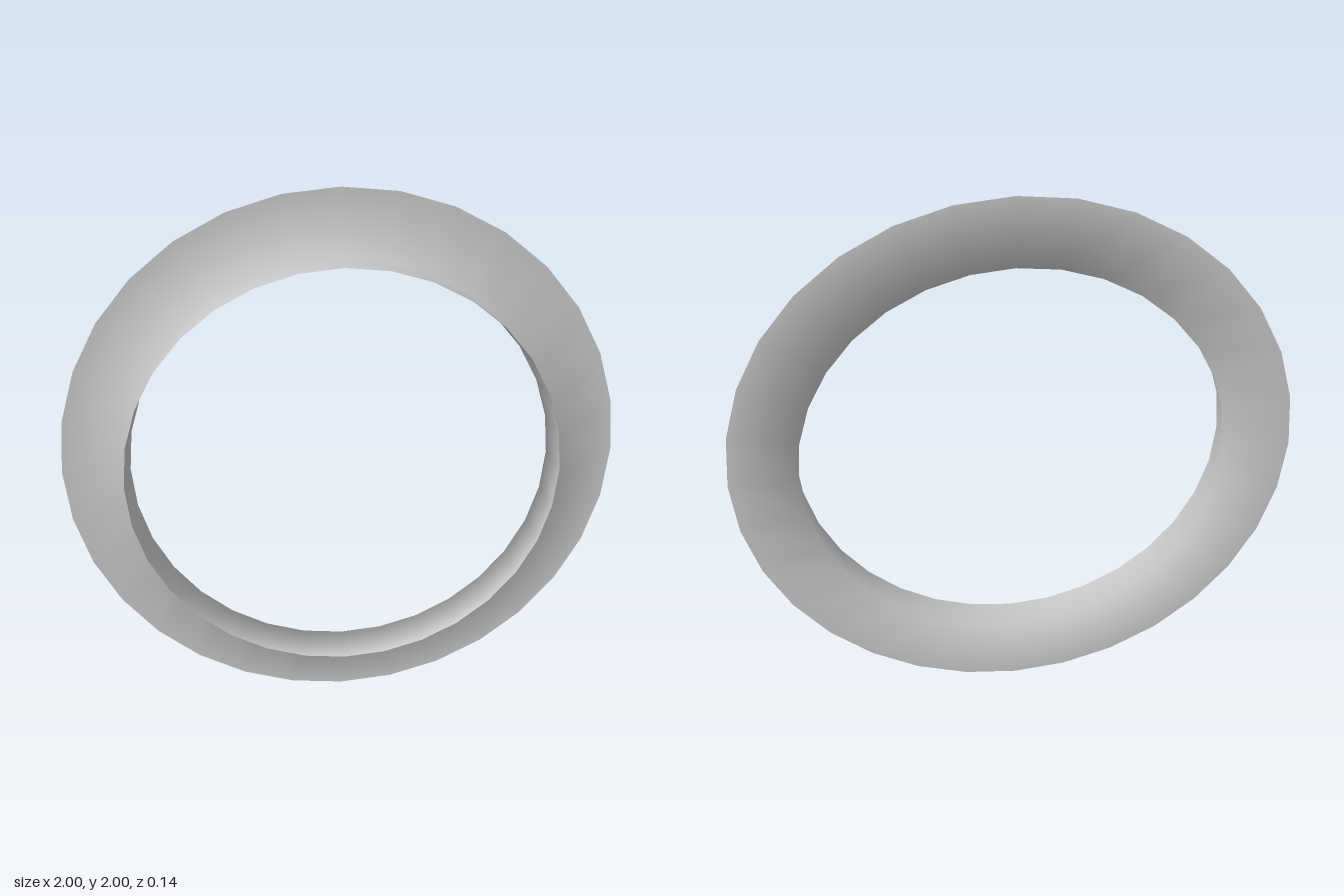
import * as THREE from 'three';

// Thin flanged ring: a flat annulus at the back with a slightly flared collar facing the front.
export function createModel() {
  const group = new THREE.Group();
  group.name = 'flangedRing';

  const material = new THREE.MeshStandardMaterial({ color: 0xcccccc, side: THREE.DoubleSide });

  // Profile: outer rim, inner corner of the flange, front lip of the collar
  const profile = [
    new THREE.Vector2(1, -0.072),
    new THREE.Vector2(0.757, -0.072),
    new THREE.Vector2(0.772, 0.072),
  ];

  // Turn the lathe axis from y to z so the collar points forward
  const geometry = new THREE.LatheGeometry(profile, 32);
  geometry.rotateX(Math.PI / 2);

  const ring = new THREE.Mesh(geometry, material);
  ring.name = 'flangeAndCollar';
  ring.position.y = 1;
  group.add(ring);

  return group;
}
